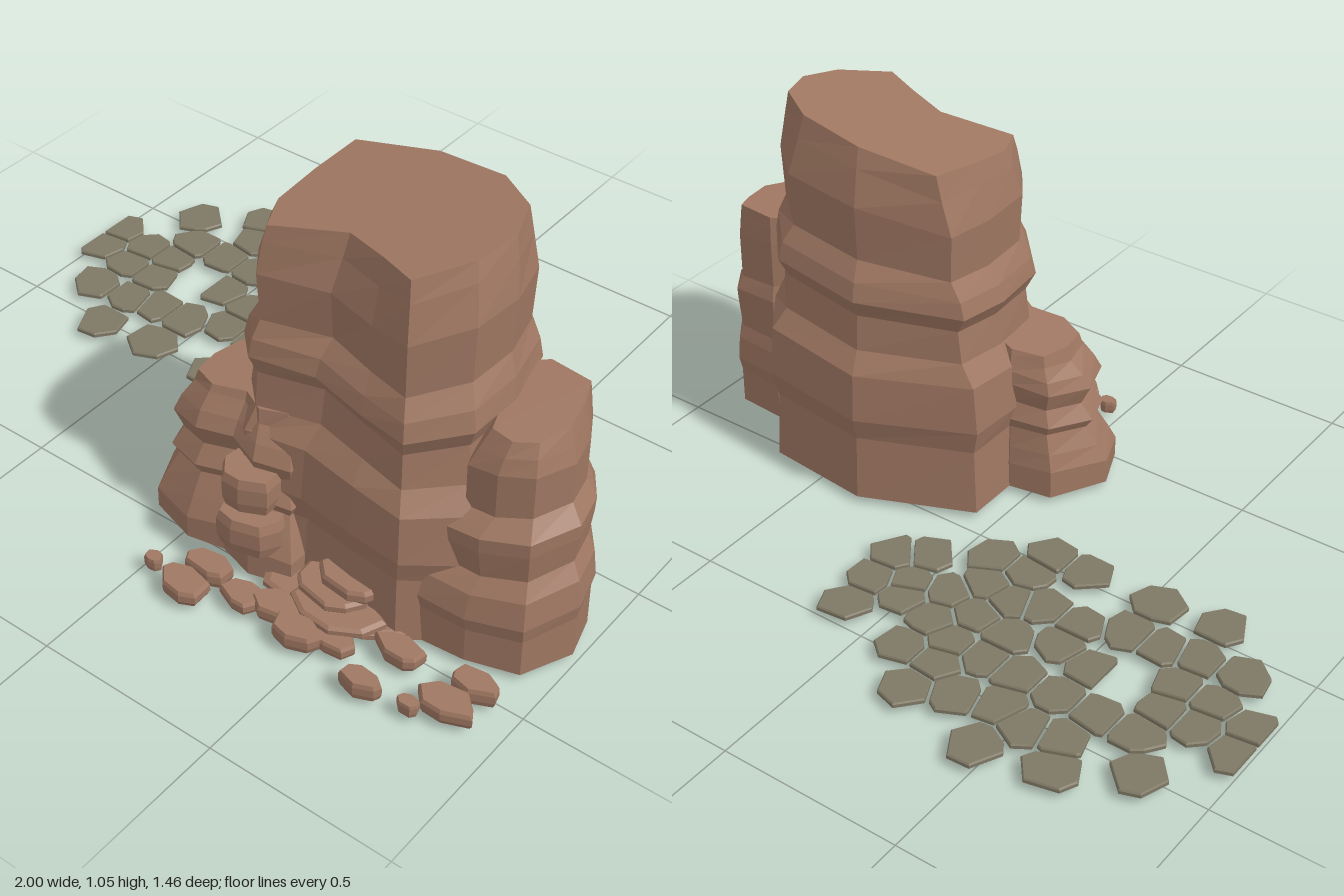
import * as THREE from 'three';

const rock = new THREE.MeshStandardMaterial({ color: 0x9f7762, flatShading: true });
rock.name = 'sandstone';
const paving = new THREE.MeshStandardMaterial({ color: 0x7e7864, flatShading: true });
paving.name = 'greyPaving';

let seed = 7;
const rnd = () => (seed = (seed * 16807) % 2147483647) / 2147483647;

// Closed solid skinned through rings of [x, y, z], bottom to top.
function skin(rings) {
  const pos = [];
  const tri = (...p) => p.forEach(v => pos.push(...v));
  const mid = r => [0, 1, 2].map(k => r.reduce((s, p) => s + p[k], 0) / r.length);
  const n = rings[0].length, lo = rings[0], hi = rings[rings.length - 1];
  const cLo = mid(lo), cHi = mid(hi);
  for (let i = 0; i < n; i++) {
    const j = (i + 1) % n;
    for (let k = 0; k + 1 < rings.length; k++) {
      const a = rings[k], b = rings[k + 1];
      tri(a[i], a[j], b[j]);
      tri(a[i], b[j], b[i]);
    }
    tri(cHi, hi[i], hi[j]);
    tri(cLo, lo[j], lo[i]);
  }
  const g = new THREE.BufferGeometry();
  g.setAttribute('position', new THREE.Float32BufferAttribute(pos, 3));
  g.computeVertexNormals();
  return g;
}

function add(parent, name, geometry, material) {
  const m = new THREE.Mesh(geometry, material);
  m.name = name;
  parent.add(m);
}

// Layered column: each level is [height, blend from base to top outline, outward bulge].
function column(base, top, levels, tiltX, tiltZ) {
  const n = base.length;
  const cx = top.reduce((s, p) => s + p[0], 0) / n, cz = top.reduce((s, p) => s + p[1], 0) / n;
  const height = levels[levels.length - 1][0];
  return skin(levels.map(([y, t, bulge], k) => base.map((b, i) => {
    const x = b[0] + (top[i][0] - b[0]) * t, z = b[1] + (top[i][1] - b[1]) * t;
    const d = Math.hypot(x - cx, z - cz), f = (y / height) ** 2;
    const inner = k > 0 && k < levels.length - 1;
    const wave = inner ? 0.012 * Math.sin(i * 1.3 + y * 5) : 0;
    return [x + (x - cx) / d * bulge, y + wave + f * (tiltX * (x - cx) + tiltZ * (z - cz)), z + (z - cz) / d * bulge];
  })));
}

// Irregular flat stone with a chamfered rim.
function slab(x, z, rx, rz, y0, y1, sides = 7) {
  const turn = rnd() * 6;
  const pts = Array.from({ length: sides }, (_, i) => {
    const a = turn - (i + rnd() * 0.5) / sides * Math.PI * 2, r = 0.85 + rnd() * 0.25;
    return [Math.cos(a) * rx * r, Math.sin(a) * rz * r];
  });
  const ring = (s, y) => pts.map(p => [x + p[0] * s, y, z + p[1] * s]);
  const h = y1 - y0;
  return skin([ring(0.9, y0), ring(1, y0 + h * 0.3), ring(1, y0 + h * 0.75), ring(0.9, y1)]);
}

// Keep the part of a polygon where (p - o) . d <= 0.
function clip(poly, ox, oz, dx, dz) {
  const out = [], side = p => (p[0] - ox) * dx + (p[1] - oz) * dz;
  poly.forEach((p, i) => {
    const q = poly[(i + 1) % poly.length], a = side(p), b = side(q);
    if (a <= 0) out.push(p);
    if (a * b < 0) out.push([0, 1].map(k => p[k] + (q[k] - p[k]) * a / (a - b)));
  });
  return out;
}

export function createModel() {
  const model = new THREE.Group();
  model.name = 'rockOutcrop';

  // Main pillar
  add(model, 'mainPillar', column(
    [[.05, .05], [.05, .22], [.08, .4], [.18, .47], [.34, .46], [.5, .49], [.64, .5], [.76, .4], [.77, .26], [.74, .08], [.65, -.05], [.35, -.08]],
    [[.17, .05], [.155, .18], [.15, .31], [.19, .4], [.38, .345], [.5, .385], [.6, .425], [.69, .31], [.715, .2], [.68, .1], [.57, .03], [.38, .01]],
    [[.02, 0, 0], [.2, .04, -.005], [.27, .05, .015], [.41, .15, .015], [.47, .38, 0], [.57, .48, 0], [.62, .38, .015],
      [.67, .45, .01], [.72, .65, 0], [.86, .66, .008], [.95, .88, .005], [1.005, 1, 0]], .13, -.12), rock);

  // Pillar on the +x side
  add(model, 'leftPillar', column(
    [[.7, .12], [.65, .38], [.68, .46], [.8, .45], [.93, .41], [.99, .28], [.96, .17], [.9, .09], [.76, .08]],
    [[.72, .12], [.75, .28], [.77, .34], [.83, .35], [.88, .32], [.91, .24], [.89, .15], [.87, .1], [.76, .09]],
    [[.02, 0, 0], [.13, 0, 0], [.17, 0, .008], [.24, .1, .005], [.28, .35, 0], [.36, .28, .005], [.4, .3, .008],
      [.44, .65, 0], [.56, .65, 0], [.6, .8, 0], [.645, 1, 0]], 0, -.12), rock);

  // Low pillar on the -x side
  add(model, 'rightPillar', column(
    [[.05, .2], [-.07, .22], [-.15, .37], [-.1, .49], [.03, .53], [.13, .51], [.23, .54], [.34, .51], [.34, .3]],
    [[.06, .22], [-.02, .25], [-.04, .33], [-.03, .4], [.04, .43], [.13, .41], [.2, .45], [.27, .43], [.27, .28]],
    [[.02, 0, 0], [.09, 0, 0], [.14, .22, 0], [.2, .52, 0], [.23, .45, .01], [.28, .65, 0], [.34, .5, .008],
      [.38, .7, .01], [.42, .95, .005], [.45, 1, 0]], .12, 0), rock);

  // Ledges and piled stones at the foot: x, z, radii, bottom, top
  [[.21, .49, .08, .07, .22, .32], [.22, .5, .09, .08, .1, .2], [.45, .49, .2, .09, .02, .05],
    [.44, .53, .13, .1, 0, .045], [.5, .53, .12, .08, .045, .075], [.46, .51, .1, .07, .07, .1], [.5, .48, .09, .06, .09, .13]]
    .forEach(s => add(model, 'ledge', slab(...s, 8), rock));

  // Scattered stones: x, z, radii
  [[.035, .66, .025, .02], [.14, .68, .075, .045], [.16, .6, .07, .04], [.28, .62, .06, .04], [.37, .6, .07, .045],
    [.46, .64, .07, .04], [.54, .6, .06, .04], [.68, .535, .07, .04], [.67, .67, .06, .035], [.79, .655, .03, .02],
    [.86, .6, .075, .045], [.88, .52, .065, .035]]
    .forEach(([x, z, a, b], i) => add(model, 'looseStone', slab(x, z, a, b, .02, .055 + (i % 3) * .006), rock));

  // Paving stones: cells around centres in rows [z, x...]
  const seeds = [[-.66, -.47], [-.63, -.66], [-.52, -.83], [-.6, -.22], [-.53, -.62], [-.55, -.53], [-.52, -.44], [-.55, -.33],
    [-.49, -.23, -.12], [-.44, .09], [-.41, -.75, -.64, -.53, -.41, -.31, -.21], [-.37, -.12], [-.34, -.01], [-.33, .1, -.97],
    [-.25, -.96], [-.31, -.85, -.76, -.31], [-.22, -.84, -.74, .11], [-.29, -.54, -.2, .01], [-.26, -.43, -.09],
    [-.17, .04, -.32, -.43], [-.2, -.24], [-.1, -.85, -.73], [-.12, -.64, -.54], [-.18, -.15], [-.08, -.21, -.1],
    [.03, -.72], [.01, -.54, -.33, -.22]].flatMap(([z, ...xs]) => xs.map(x => [x, z]));
  const gap = [-.63, -.29];
  const tiles = new THREE.Group();
  tiles.name = 'paving';
  model.add(tiles);
  seeds.forEach(([x, z]) => {
    const turn = rnd() * 6;
    let cell = Array.from({ length: 6 }, (_, i) => {
      const a = turn - (i + rnd() * 0.4) / 6 * Math.PI * 2, r = .068 + rnd() * .014;
      return [x + Math.cos(a) * r, z + Math.sin(a) * r];
    });
    cell = clip(cell, -1, 0, -1, 0);
    for (const [u, v] of [...seeds, gap]) {
      const d = Math.hypot(u - x, v - z);
      if (d < .001 || d > .3) continue;
      const s = .5 - .005 / d;
      cell = clip(cell, x + (u - x) * s, z + (v - z) * s, u - x, v - z);
    }
    const ring = (s, y) => cell.map(p => [x + (p[0] - x) * s, y, z + (p[1] - z) * s]);
    add(tiles, 'pavingStone', skin([ring(1, .02), ring(1, .029), ring(.95, .033)]), paving);
  });
  return model;
}
